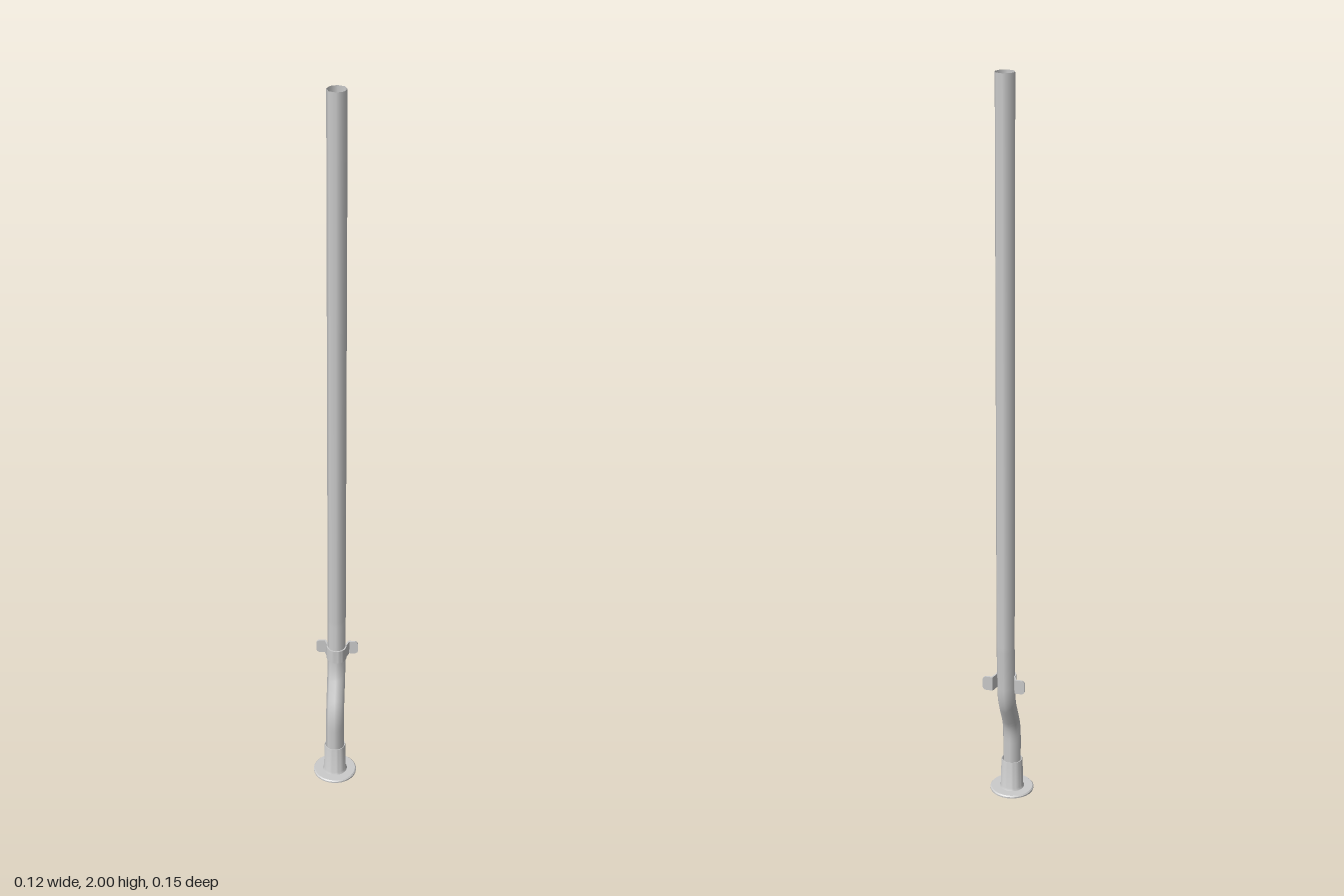
import * as THREE from 'three';
import { toCreasedNormals } from 'three/addons/utils/BufferGeometryUtils.js';

const material = new THREE.MeshStandardMaterial({ color: 0xcccccc, side: THREE.DoubleSide });
const BASE_Z = 0.015, POLE_Z = -0.052, CLAMP_Z = -0.048, CLAMP_Y = 0.372;

function addPart(parent, name, geometry) {
  const mesh = new THREE.Mesh(geometry, material);
  mesh.name = name;
  parent.add(mesh);
  return mesh;
}

// Surface of revolution with crisp rims, from [radius, y] pairs
function lathe(profile) {
  const points = profile.map(([r, y]) => new THREE.Vector2(r, y));
  return toCreasedNormals(new THREE.LatheGeometry(points, 32), 0.6);
}

// Eight-sided pipe centre line: straight foot, offset bend, long straight pole
function polePath() {
  const v = (y, z) => new THREE.Vector3(0, y, z);
  const path = new THREE.CurvePath();
  path.add(new THREE.LineCurve3(v(0.01, BASE_Z), v(0.16, BASE_Z)));
  path.add(new THREE.QuadraticBezierCurve3(v(0.16, BASE_Z), v(0.205, BASE_Z), v(0.235, -0.003)));
  path.add(new THREE.LineCurve3(v(0.235, -0.003), v(0.285, -0.03)));
  path.add(new THREE.QuadraticBezierCurve3(v(0.285, -0.03), v(0.315, -0.046), v(0.36, -0.047)));
  path.add(new THREE.LineCurve3(v(0.36, -0.047), v(0.48, POLE_Z)));
  path.add(new THREE.LineCurve3(v(0.48, POLE_Z), v(2, POLE_Z)));
  return path;
}

// U-shaped strap outline in plan; shape y is -z
function strapShape() {
  const arc = (r) => Array.from({ length: 17 }, (_, i) => {
    const a = THREE.MathUtils.lerp(0.15, -Math.PI - 0.15, i / 16);
    return new THREE.Vector2(r * Math.cos(a), r * Math.sin(a) - CLAMP_Z);
  });
  const outer = [new THREE.Vector2(0.034, 0.0695), ...arc(0.0275), new THREE.Vector2(-0.034, 0.0695)];
  const inner = [new THREE.Vector2(0.030, 0.0745), ...arc(0.0238), new THREE.Vector2(-0.030, 0.0745)];
  return new THREE.Shape([...outer, ...inner.reverse()]);
}

// Ear plate with rounded outer corners
function earShape(x0, x1, h, r) {
  const s = new THREE.Shape();
  s.moveTo(x0, -h);
  s.lineTo(x1 - r, -h);
  s.absarc(x1 - r, -h + r, r, -Math.PI / 2, 0);
  s.absarc(x1 - r, h - r, r, 0, Math.PI / 2);
  s.lineTo(x0, h);
  s.closePath();
  return s;
}

export function createModel() {
  const model = new THREE.Group();
  model.name = 'offsetPole';

  // Floor flange and tapered socket, both open through the middle
  const base = new THREE.Group();
  base.name = 'base';
  base.position.z = BASE_Z;
  model.add(base);
  addPart(base, 'floorFlange',
    lathe([[0.029, 0], [0.06, 0], [0.06, 0.004], [0.057, 0.007], [0.029, 0.007], [0.029, 0]]));
  addPart(base, 'socket',
    lathe([[0.029, 0.005], [0.035, 0.005], [0.031, 0.013], [0.0295, 0.09], [0.0285, 0.094],
      [0.0265, 0.094], [0.0275, 0.005]]));

  // Bent hollow pole
  addPart(model, 'pole', new THREE.TubeGeometry(polePath(), 140, 0.025, 8, false));

  // Wall clamp: strap around the pole plus two mounting ears
  const clamp = new THREE.Group();
  clamp.name = 'clamp';
  clamp.position.y = CLAMP_Y;
  model.add(clamp);
  const strap = new THREE.ExtrudeGeometry(strapShape(), { depth: 0.04, bevelEnabled: false });
  strap.rotateX(-Math.PI / 2).translate(0, -0.02, 0);
  addPart(clamp, 'strap', toCreasedNormals(strap, 0.6));
  for (const side of [1, -1]) {
    const ear = new THREE.ExtrudeGeometry(earShape(0.031, 0.058, 0.02, 0.01),
      { depth: 0.005, bevelEnabled: false, curveSegments: 6 });
    ear.translate(0, 0, -0.0025);
    if (side < 0) ear.rotateY(Math.PI);
    ear.translate(0, 0, -0.072);
    addPart(clamp, side > 0 ? 'leftEar' : 'rightEar', toCreasedNormals(ear, 0.6));
  }
  return model;
}
